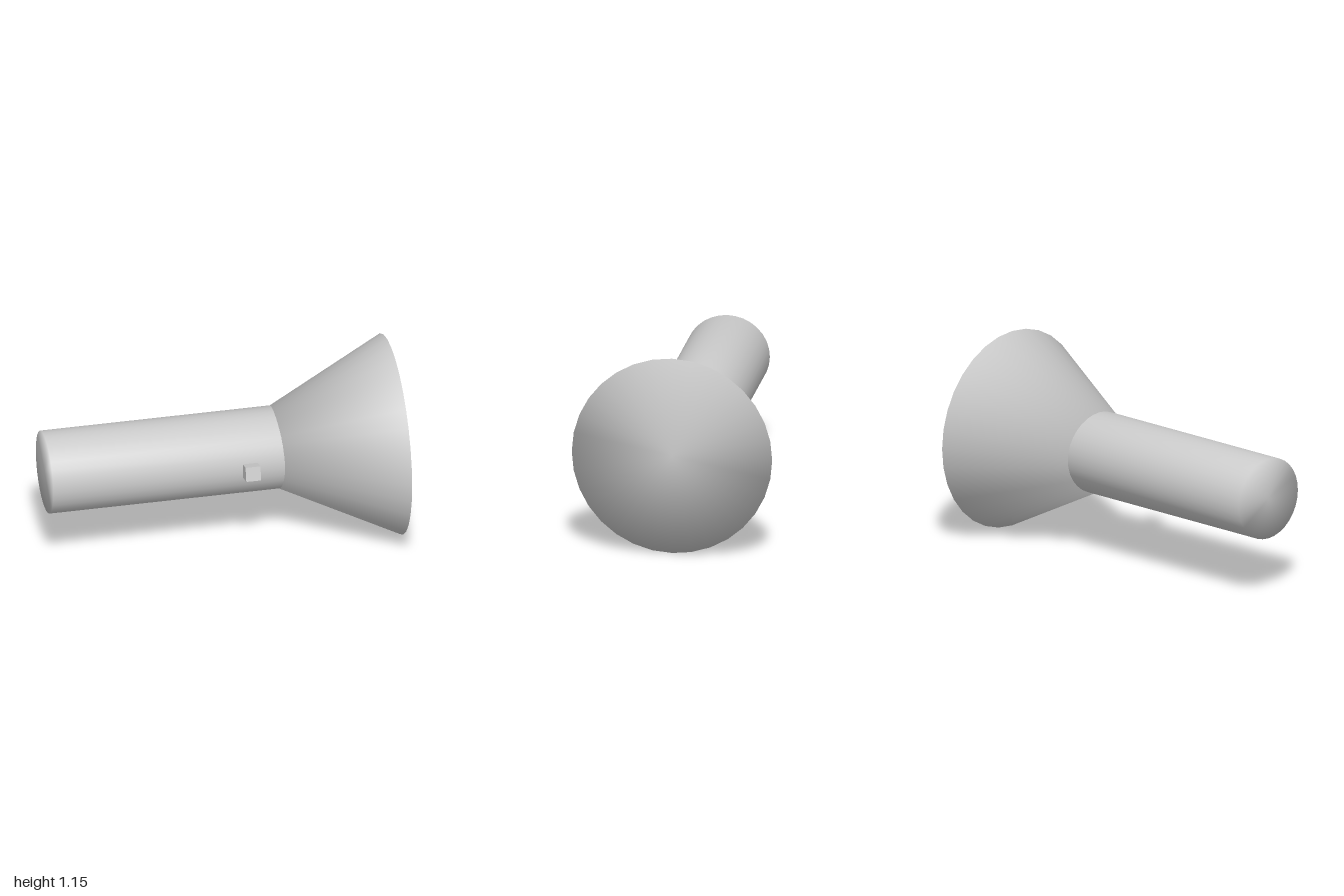
import * as THREE from 'three';
import { mergeVertices } from 'three/addons/utils/BufferGeometryUtils.js';

const AXIS_Y = 0.573;
const SIDES = 32;

// Weld the caps to the walls so the shading runs smoothly over the rims.
function weld(geometry) {
  geometry.deleteAttribute('normal');
  geometry.deleteAttribute('uv');
  const welded = mergeVertices(geometry, 1e-4);
  welded.computeVertexNormals();
  return welded;
}

export function createModel() {
  const group = new THREE.Group();
  group.name = 'flashlight';
  const material = new THREE.MeshStandardMaterial({ color: 0xcccccc });

  const add = (name, geometry, x, y, z) => {
    const mesh = new THREE.Mesh(geometry, material);
    mesh.name = name;
    mesh.position.set(x, y, z);
    group.add(mesh);
    return mesh;
  };

  // Handle: slightly oval closed tube lying along x
  const tail = -1, front = 0.35;
  const tube = new THREE.CylinderGeometry(1, 1, front - tail, SIDES);
  tube.rotateZ(-Math.PI / 2);
  tube.scale(1, 0.234, 0.241);
  add('handle', weld(tube), (tail + front) / 2, AXIS_Y, 0);

  // Head: cone opening to the front, its tip buried in the handle
  const radius = 0.573, length = 1.146;
  const cone = new THREE.ConeGeometry(radius, length, SIDES);
  cone.rotateZ(Math.PI / 2);
  // Put a corner at the very top of the rim
  add('head', weld(cone), 1 - length / 2, AXIS_Y, 0);

  // Switch: small tilted block on the side of the handle
  const button = add('switch', new THREE.BoxGeometry(0.086, 0.083, 0.115), 0.138, 0.59, 0.26);
  button.rotation.x = -THREE.MathUtils.degToRad(15);

  return group;
}
